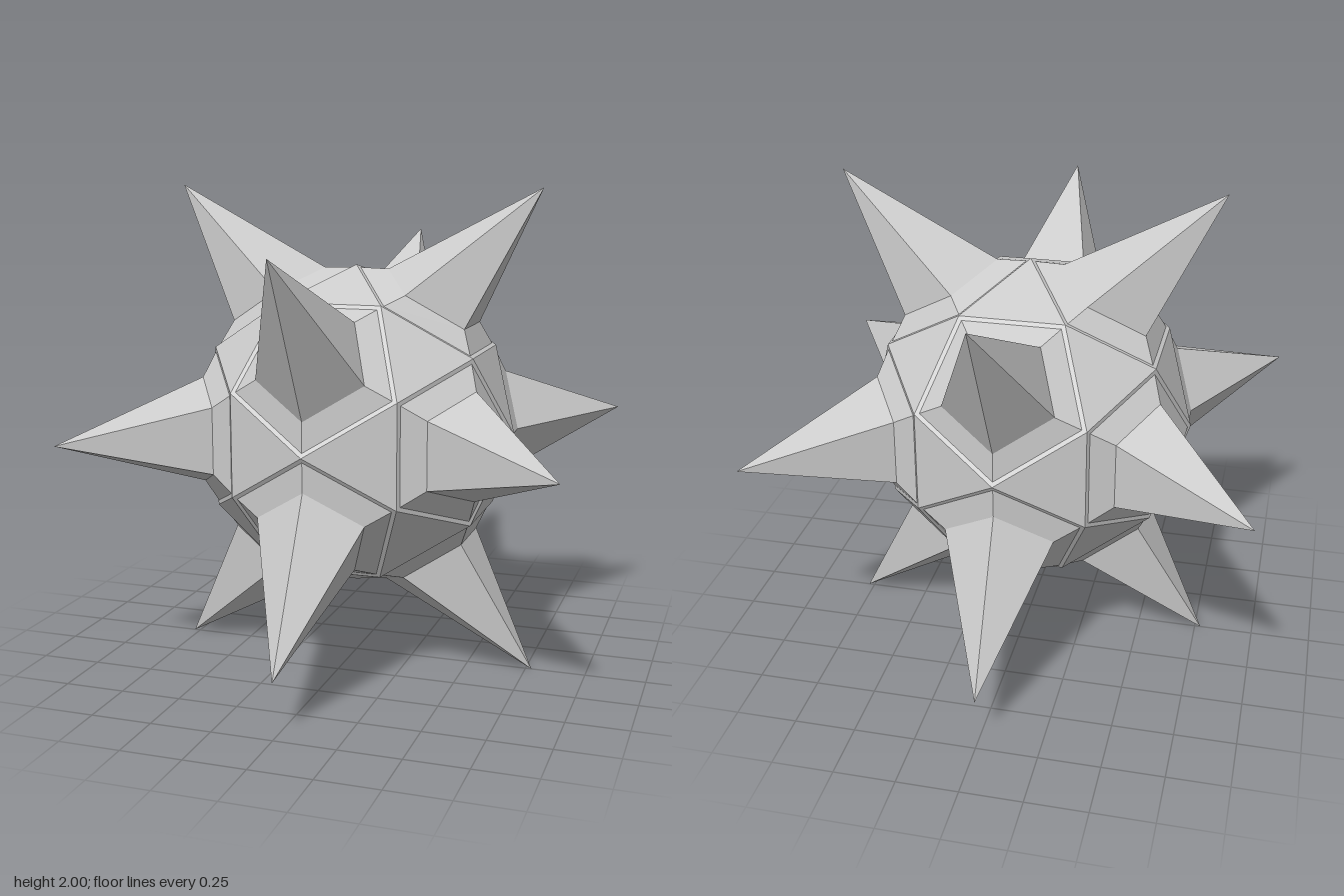
import * as THREE from 'three';
import { ConvexGeometry } from 'three/addons/geometries/ConvexGeometry.js';

const PHI = (1 + Math.sqrt(5)) / 2;
const S = 0.42; // edge length of the core
const V = (x, y, z) => new THREE.Vector3(x, y, z);

// One pentagon of the core, counterclockwise from outside
const PENTAGON = [
  V(0, 0, PHI * S),
  V(PHI / 2 * S, S / 2, PHI * PHI / 2 * S),
  V(S / 2, PHI * PHI / 2 * S, PHI / 2 * S),
  V(-S / 2, PHI * PHI / 2 * S, PHI / 2 * S),
  V(-PHI / 2 * S, S / 2, PHI * PHI / 2 * S),
];
const CENTRE = PENTAGON.reduce((sum, p) => sum.add(p), V(0, 0, 0)).divideScalar(5);
const NORMAL = CENTRE.clone().normalize();

// Pentagon shrunk about its centre and lifted along its normal
const ring = (scale, lift) => PENTAGON.map((p) =>
  p.clone().sub(CENTRE).multiplyScalar(scale).add(CENTRE).addScaledVector(NORMAL, lift));

// Flat faces between two rings
function skin(lower, upper) {
  const points = [];
  lower.forEach((a, i) => {
    const j = (i + 1) % lower.length;
    points.push(a, lower[j], upper[j], a, upper[j], upper[i]);
  });
  return flat(points);
}

// Flat faces from a ring to a tip
function cone(base, tip) {
  return flat(base.flatMap((a, i) => [a, base[(i + 1) % base.length], tip]));
}

function flat(points) {
  const geometry = new THREE.BufferGeometry().setFromPoints(points);
  geometry.computeVertexNormals();
  return geometry;
}

// The twelve rotations that carry one pentagon to all the others
function faceRotations() {
  const turn = V(1, 1, 1).normalize();
  const flips = [[1, 1, 1], [1, -1, -1], [-1, 1, -1], [-1, -1, 1]];
  const out = [];
  for (let i = 0; i < 3; i++) {
    for (const f of flips) {
      const m = new THREE.Matrix4().makeRotationAxis(turn, i * Math.PI * 2 / 3);
      out.push(new THREE.Matrix4().makeScale(...f).multiply(m));
    }
  }
  return out;
}

export function createModel() {
  const model = new THREE.Group();
  const material = new THREE.MeshStandardMaterial({ color: 0xcccccc, flatShading: true });
  const rotations = faceRotations();

  const add = (name, geometry) => {
    const mesh = new THREE.Mesh(geometry, material);
    mesh.name = name;
    mesh.position.y = 1;
    model.add(mesh);
  };

  // Core of pentagons and triangles, each shared corner taken once
  const corners = new Map();
  for (const m of rotations) {
    for (const p of PENTAGON) {
      const q = p.clone().applyMatrix4(m);
      corners.set(q.toArray().map((c) => Math.round(c * 1000) + 0).join(), q);
    }
  }
  add('core', new ConvexGeometry([...corners.values()]));

  // Sloped socket and spike on each pentagon
  const socketTop = ring(0.65, 0.06);
  const socket = skin(ring(0.94, 0), socketTop);
  const spike = cone(socketTop, V(0, 0.775, 1));
  for (const m of rotations) {
    add('socket', socket.clone().applyMatrix4(m));
    add('spike', spike.clone().applyMatrix4(m));
  }
  return model;
}
